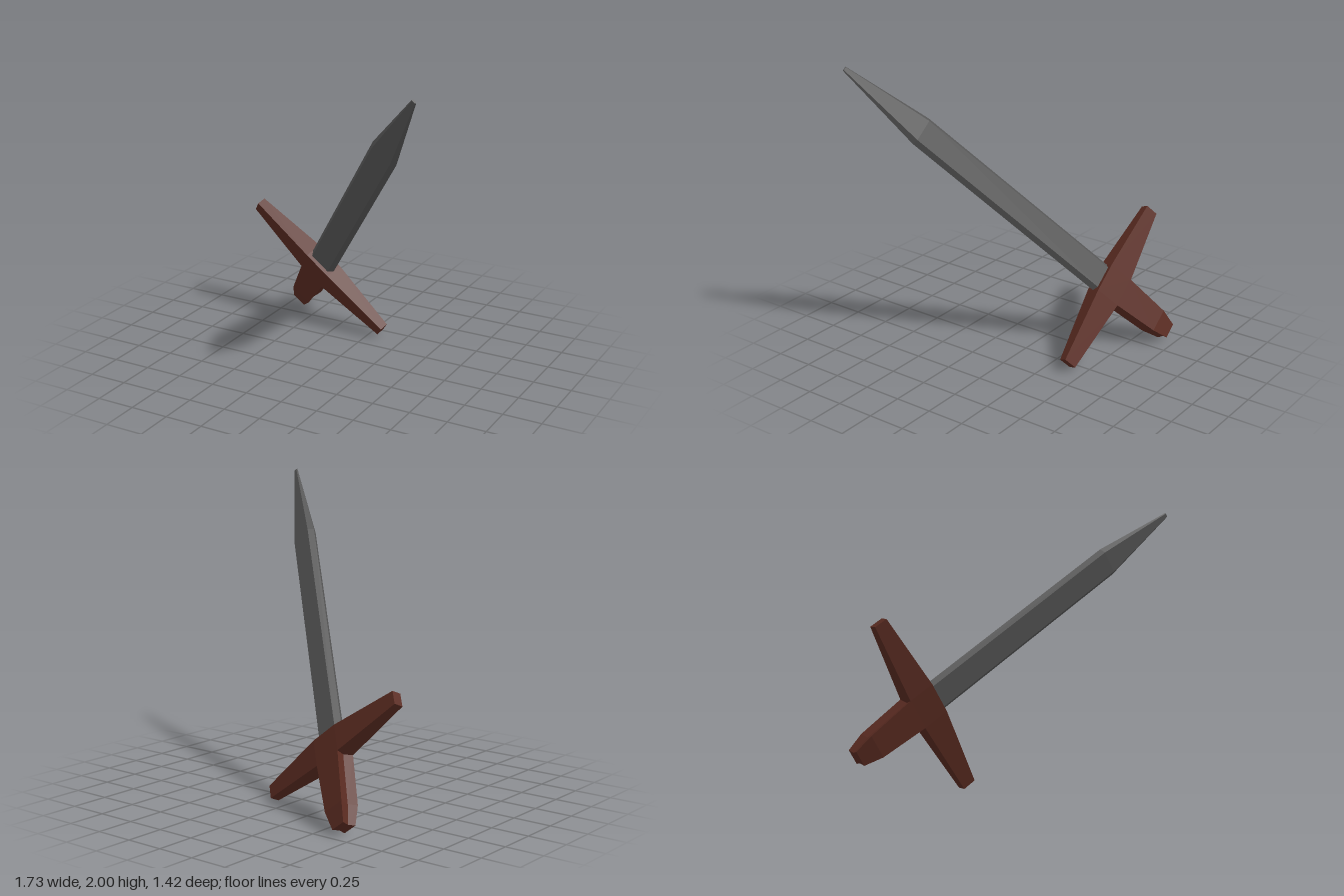
import * as THREE from 'three';

const wood = new THREE.MeshStandardMaterial({ color: 0x5a2b21, flatShading: true });
wood.name = 'brownWood';
const steel = new THREE.MeshStandardMaterial({ color: 0x575757, flatShading: true });
steel.name = 'darkSteel';

// Joins matching rings (counter-clockwise seen from the last ring) into a capped solid
function loft(rings) {
  const points = [];
  const n = rings[0].length;
  const tri = (...corners) => corners.forEach((p) => points.push(p.x, p.y, p.z));
  const centre = (ring) => ring.reduce((s, p) => s.add(p), new THREE.Vector3()).divideScalar(n);
  for (let i = 0; i + 1 < rings.length; i++) {
    for (let j = 0; j < n; j++) {
      const k = (j + 1) % n;
      const a = rings[i][j], b = rings[i][k], c = rings[i + 1][k], d = rings[i + 1][j];
      tri(a, b, c);
      tri(a, c, d);
    }
  }
  const first = rings[0], last = rings[rings.length - 1];
  const c0 = centre(first), c1 = centre(last);
  for (let j = 0; j < n; j++) {
    const k = (j + 1) % n;
    tri(c0, first[k], first[j]);
    tri(c1, last[j], last[k]);
  }
  const geometry = new THREE.BufferGeometry();
  geometry.setAttribute('position', new THREE.Float32BufferAttribute(points, 3));
  geometry.computeVertexNormals();
  return geometry;
}

// Six-sided ring at height y: flat front and back, sides meeting at x = edge
const hexRing = (y, edge, flat, depth) =>
  [[edge, 0], [flat, -depth], [-flat, -depth], [-edge, 0], [-flat, depth], [flat, depth]]
    .map(([x, z]) => new THREE.Vector3(x, y, z));

// Rectangular ring across the guard at position x
const guardRing = (x, h, d) =>
  [[h, d], [-h, d], [-h, -d], [h, -d]].map(([y, z]) => new THREE.Vector3(x, y, z));

function part(name, rings, material) {
  const mesh = new THREE.Mesh(loft(rings), material);
  mesh.name = name;
  return mesh;
}

export function createModel() {
  const sword = new THREE.Group();
  sword.name = 'sword';

  // Blade: bevelled hexagonal section narrowing to a blunt point
  sword.add(part('blade', [
    hexRing(0.08, 0.1, 0.075, 0.035),
    hexRing(1.66, 0.098, 0.073, 0.034),
    hexRing(2.268, 0.016, 0.011, 0.006),
  ], steel));

  // Crossguard: square centre with arms tapering to half size
  sword.add(part('crossguard', [
    guardRing(-0.6, 0.045, 0.03),
    guardRing(-0.1, 0.09, 0.06),
    guardRing(0.1, 0.09, 0.06),
    guardRing(0.6, 0.045, 0.03),
  ], wood));

  // Grip: shallow groove down each side, bevelled in at the pommel
  sword.add(part('grip', [
    hexRing(-0.545, 0.038, 0.051, 0.046),
    hexRing(-0.42, 0.06, 0.078, 0.062),
    hexRing(-0.085, 0.08, 0.1, 0.06),
  ], wood));

  // Lean the sword: tip up, forward and to its left
  const along = new THREE.Vector3(0.536, 0.69, 0.488).normalize();
  const across = new THREE.Vector3(along.y, -along.x, 0).normalize();
  const facing = new THREE.Vector3().crossVectors(across, along);
  sword.quaternion.setFromRotationMatrix(new THREE.Matrix4().makeBasis(across, along, facing));
  sword.position.set(-0.372, 0.426, -0.4);

  const model = new THREE.Group();
  model.name = 'leaningSword';
  model.add(sword);
  return model;
}
